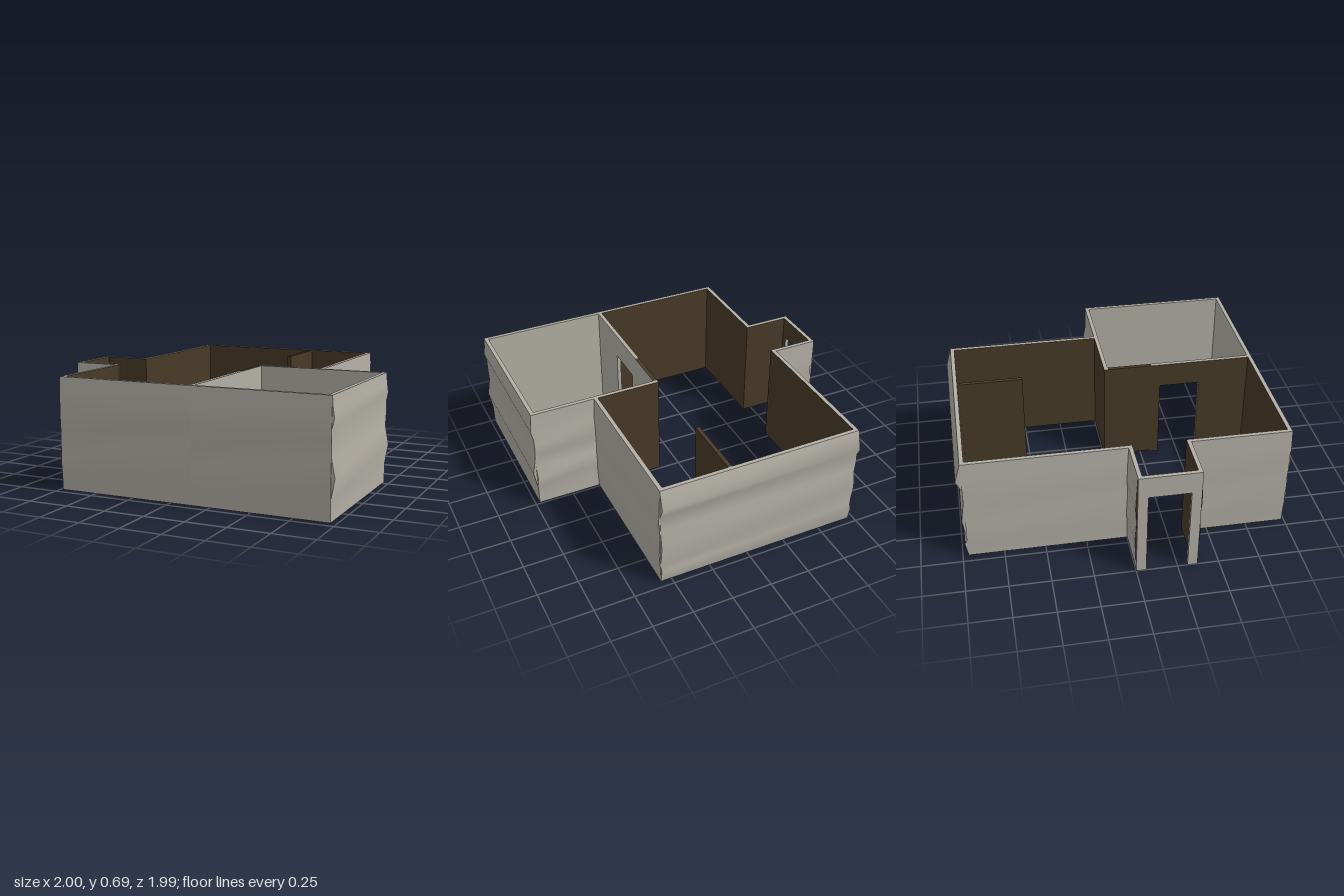
import * as THREE from 'three';

const T = 0.025;            // wall thickness
const BASE = 0.01, TOP = 0.69;

export function createModel() {
  const group = new THREE.Group();
  const grey = new THREE.MeshStandardMaterial({ color: 0xb3afa6 });
  grey.name = 'plaster grey';
  const brown = new THREE.MeshStandardMaterial({ color: 0x473a28 });
  brown.name = 'dark brown lining';

  const ANGLE = { front: 0, left: Math.PI / 2, back: Math.PI, right: -Math.PI / 2 };

  // Profiles: [height, outward bulge] from top to bottom
  const flat = (y0 = BASE, y1 = TOP) => [[y1, 0], [y0, 0]];
  const wavy = (...mid) => [[TOP, 0], ...mid, [BASE, 0]];
  const backWave = wavy([0.57, 0.033], [0.5, 0], [0.4, 0.002], [0.28, 0.02], [0.13, 0], [0.1, 0.016]);
  const sideWave = wavy([0.63, 0.004], [0.57, 0.013], [0.51, 0], [0.36, 0], [0.25, 0.021], [0.13, 0]);
  const softWave = wavy([0.58, 0.005], [0.46, 0.009], [0.36, 0.002], [0.22, 0.009], [0.1, 0.002]);
  const kneeWave = wavy([0.54, 0], [0.46, 0.016], [0.38, 0], [0.3, 0], [0.22, 0.021], [0.14, 0]);

  // A wall running from lo to hi, whose outer face lies at "face" and looks towards "dir"
  function wall(name, dir, face, lo, hi, profile, opt = {}) {
    const { outer = grey, inner = brown, ends = grey, top = grey } = opt;
    const rows = profile.length - 1;
    const geo = new THREE.BoxGeometry(hi - lo, rows, T, 1, rows, 1);
    const p = geo.attributes.position;
    for (let i = 0; i < p.count; i++) {
      const [y, bulge] = profile[Math.round(rows / 2 - p.getY(i))];
      p.setY(i, y);
      if (p.getZ(i) > 0) p.setZ(i, T / 2 + bulge);
    }
    geo.computeVertexNormals();
    const a = ANGLE[dir], mid = (lo + hi) / 2;
    geo.rotateY(a);
    const depth = face - (T / 2) * Math.round(Math.sin(a) + Math.cos(a));
    if (dir === 'front' || dir === 'back') geo.translate(mid, 0, depth);
    else geo.translate(depth, 0, mid);
    const mesh = new THREE.Mesh(geo, [ends, ends, top, grey, outer, inner]);
    mesh.name = name;
    group.add(mesh);
  }

  // Main room shell
  wall('backWall', 'back', -0.965, -0.71, 0.57, backWave);
  wall('mainRoomLeftWall', 'left', 0.57, -0.965, 0, softWave);
  wall('mainRoomRightWallBack', 'right', -0.71, -0.965, 0, softWave);
  wall('mainRoomRightWallFront', 'right', -0.71, 0.37, 0.98, softWave);
  wall('mainRoomFrontWall', 'front', 0.98, -0.71, 0.15, softWave);

  // Entrance porch
  wall('porchBackWall', 'back', 0, -0.985, -0.684, softWave, { ends: brown });
  wall('porchFrontWall', 'front', 0.37, -0.985, -0.684, softWave, { ends: brown });

  // Small room shell
  wall('smallRoomFrontWall', 'front', 0.98, 0.15, 0.975, softWave, { inner: grey });
  wall('smallRoomLeftWall', 'left', 0.975, 0, 0.98, sideWave, { inner: grey });
  wall('smallRoomBackWall', 'back', 0, 0.546, 0.975, kneeWave, { inner: grey });
  wall('sharedBackWall', 'back', 0, 0.137, 0.546, flat(), { outer: brown, inner: grey, ends: brown });

  // Doorways: two posts reaching the ground and a lintel between them
  function doorway(name, dir, face, z0, z1, head) {
    const post = 0.06;
    wall(name + 'PostBack', dir, face, z0, z0 + post, flat(0));
    wall(name + 'PostFront', dir, face, z1 - post, z1, flat(0));
    wall(name + 'Lintel', dir, face, z0 + post, z1 - post, flat(head));
  }
  doorway('entranceDoorway', 'right', -1, 0, 0.37, 0.55);
  doorway('innerDoorway', 'left', 0.162, 0.31, 0.69, 0.53);

  // Rest of the dividing wall, and the free-standing partition
  wall('dividingWallBack', 'left', 0.162, 0.025, 0.31, flat(), { top: brown });
  wall('dividingWallFront', 'left', 0.162, 0.69, 0.956, flat());
  wall('partition', 'left', 0.14, -0.942, -0.53, flat(), { outer: brown, ends: brown, top: brown });

  return group;
}
